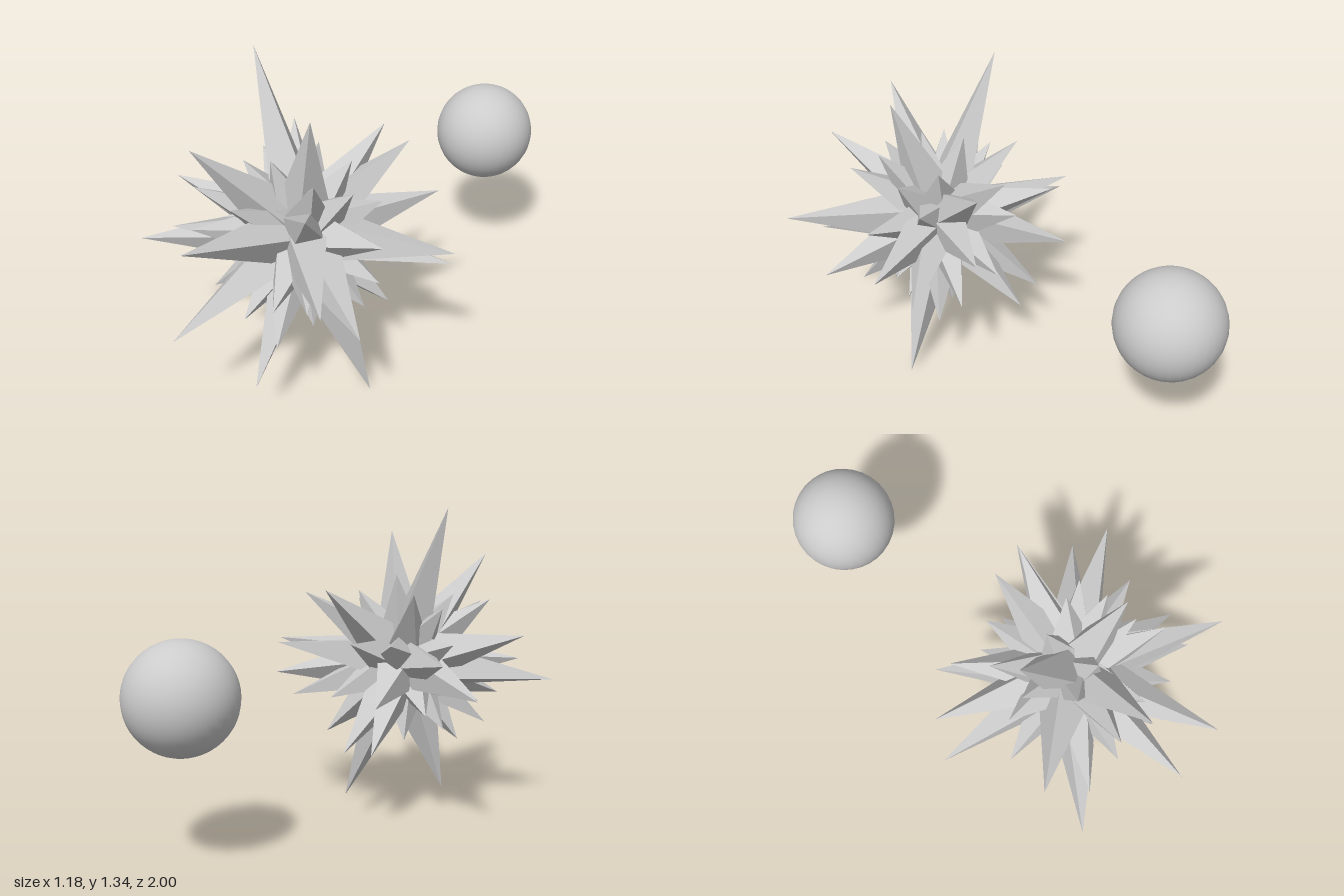
import * as THREE from 'three';

const CENTER = new THREE.Vector3(0, 0.674, 0.388);

// Spike tips relative to the star centre; each repeats by a half turn about z.
const LONG_TIPS = [
  [-0.3, 0.672, -0.066], [0.161, 0.563, 0.089], [-0.135, 0.463, 0.394],
  [0.057, 0.218, 0.61], [0.591, 0.063, -0.21], [0.51, 0.065, 0.402],
  [-0.5, 0.145, 0.202], [-0.5, 0.077, -0.313], [0.296, 0.1, -0.473],
  [0.054, 0.337, -0.415], [0.2, 0.32, -0.398],
];
const SHORT_TIPS = [
  [-0.054, 0.39, -0.104], [-0.26, 0.327, -0.22], [0.275, 0.267, 0.237],
  [0.21, 0.338, 0.13], [0.425, 0.113, 0.0], [-0.207, 0.265, 0.34],
  [-0.275, 0.258, -0.06], [-0.376, 0.02, 0.337], [-0.014, 0.238, 0.33],
  [-0.22, 0.08, 0.36], [-0.296, 0.14, -0.388], [-0.06, 0.12, -0.38],
];

const halfTurn = (v) => new THREE.Vector3(-v.x, -v.y, v.z);
const withPairs = (list) => list.flatMap((p) => {
  const v = new THREE.Vector3(...p);
  return [v, halfTurn(v)];
});

// Adds short tips wherever the directions still leave a wide gap.
function fillGaps(tips, minAngle, radius) {
  const n = 240;
  for (let i = 0; i < n; i++) {
    const y = 1 - (2 * i + 1) / n;
    const a = i * Math.PI * (3 - Math.sqrt(5));
    const s = Math.sqrt(1 - y * y);
    const v = new THREE.Vector3(s * Math.cos(a), y, s * Math.sin(a));
    const w = halfTurn(v);
    if (v.angleTo(w) > minAngle && tips.every((t) => t.angleTo(v) > minAngle)) {
      tips.push(v.multiplyScalar(radius), w.multiplyScalar(radius));
    }
  }
}

// Four-sided pyramid growing from near the centre to its tip.
function spike(tip, width, turn, material) {
  const length = tip.length();
  const start = 0.09;
  const geometry = new THREE.ConeGeometry(width, length - start, 4, 1, true);
  geometry.translate(0, (length + start) / 2, 0);
  geometry.rotateY(turn);
  const mesh = new THREE.Mesh(geometry, material);
  mesh.quaternion.setFromUnitVectors(new THREE.Vector3(0, 1, 0), tip.clone().normalize());
  return mesh;
}

export function createModel() {
  const model = new THREE.Group();
  model.name = 'spikyStarAndBall';
  const faceted = new THREE.MeshStandardMaterial({ color: 0xcccccc, flatShading: true });
  const smooth = new THREE.MeshStandardMaterial({ color: 0xcccccc });

  // Spiky star
  const star = new THREE.Group();
  star.name = 'spikyStar';
  star.position.copy(CENTER);
  const longTips = withPairs(LONG_TIPS);
  const tips = [...longTips, ...withPairs(SHORT_TIPS)];
  fillGaps(tips, 0.38, 0.37);
  tips.forEach((tip, i) => {
    const isLong = i < longTips.length;
    const mesh = spike(tip, isLong ? 0.118 : 0.112, i * 1.1, faceted);
    mesh.name = isLong ? 'longSpike' : 'shortSpike';
    star.add(mesh);
  });

  // Solid middle that closes the valleys between spikes
  const core = new THREE.Mesh(new THREE.IcosahedronGeometry(0.19, 0), faceted);
  core.name = 'starCore';
  star.add(core);
  model.add(star);

  // Separate smooth ball behind the star
  const ball = new THREE.Mesh(new THREE.SphereGeometry(0.217, 32, 24), smooth);
  ball.name = 'ball';
  ball.position.set(0, 0.676, -0.782);
  model.add(ball);

  return model;
}
